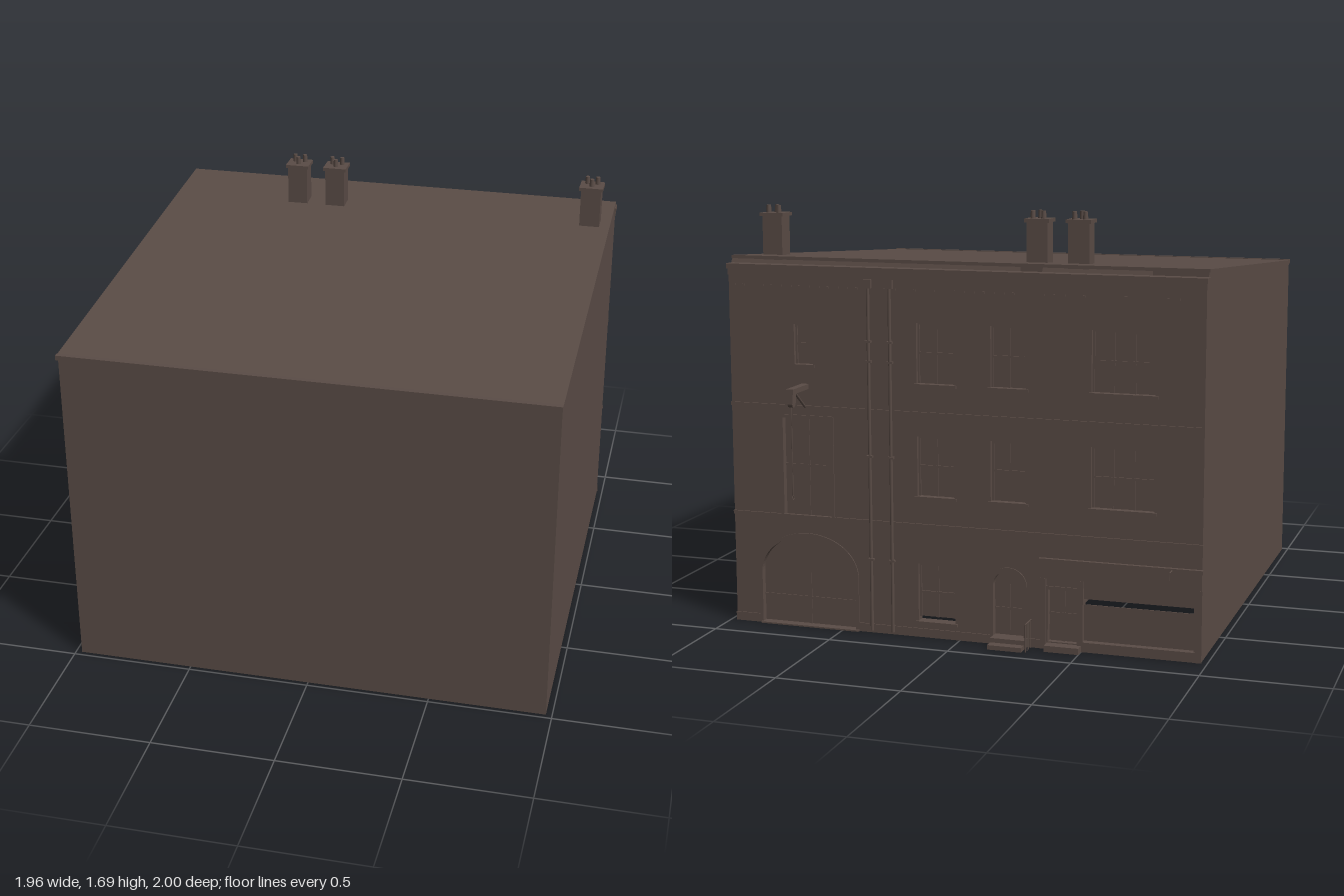
import * as THREE from 'three';

export function createModel() {
  const root = new THREE.Group();
  const stone = new THREE.MeshStandardMaterial({ color: 0x5a4c46, side: THREE.DoubleSide });
  stone.name = 'brown stone';
  const FACE = -0.85; // outer plane of the street wall

  function add(name, geo, parent = root) {
    const m = new THREE.Mesh(geo, stone);
    m.name = name;
    parent.add(m);
    return m;
  }
  // box given by its min and max on each axis
  function box(name, x0, x1, y0, y1, z0, z1, parent) {
    const g = new THREE.BoxGeometry(x1 - x0, y1 - y0, z1 - z0);
    g.translate((x0 + x1) / 2, (y0 + y1) / 2, (z0 + z1) / 2);
    return add(name, g, parent);
  }
  function rod(name, a, b, r, parent) {
    const A = new THREE.Vector3(...a), B = new THREE.Vector3(...b);
    const g = new THREE.CylinderGeometry(r, r, A.distanceTo(B), 8);
    const m = add(name, g, parent);
    m.position.copy(A).lerp(B, 0.5);
    m.quaternion.setFromUnitVectors(new THREE.Vector3(0, 1, 0), B.sub(A).normalize());
    return m;
  }
  // rectangle, or arched outline when spring < y1
  function outline(Type, x0, x1, y0, y1, spring = y1) {
    const p = new Type();
    p.moveTo(x0, y0);
    p.lineTo(x1, y0);
    p.lineTo(x1, spring);
    if (spring < y1) p.absellipse((x0 + x1) / 2, spring, (x1 - x0) / 2, y1 - spring, 0, Math.PI, false, 0);
    else p.lineTo(x0, y1);
    p.lineTo(x0, y0);
    return p;
  }

  // openings in the street wall
  const windows = [];
  for (const [x0, x1, bars] of [[0.02, 0.175, 1], [-0.274, -0.13, 1], [-0.786, -0.535, 2]])
    for (const y of [0.575, 1.025]) windows.push([x0, x1, y, y + 0.24, bars]);
  windows.push([0.02, 0.175, 0.065, 0.3, 1], [0.615, 0.695, 1.08, 1.24, 0]);
  const doors = [
    ['loadingDoor', 0.545, 0.75, 0.46, 0.86, 0.86],
    ['carriageGate', 0.445, 0.855, 0, 0.375, 0.22],
    ['frontDoor', -0.265, -0.14, 0.035, 0.3, 0.24],
    ['shopDoor', -0.485, -0.365, 0.03, 0.24, 0.24],
  ];
  const shop = [-0.945, -0.505, 0.04, 0.255];

  // street wall
  const wall = outline(THREE.Shape, -0.975, 0.975, 0, 1.45);
  for (const [a, b, c, d] of [...windows, shop]) wall.holes.push(outline(THREE.Path, a, b, c, d));
  for (const [, a, b, c, d, s] of doors) wall.holes.push(outline(THREE.Path, a, b, Math.max(c, 0.002), d, s));
  add('streetWall', new THREE.ExtrudeGeometry(wall, { depth: 0.04, bevelEnabled: false, curveSegments: 20 }).translate(0, 0, FACE));

  // end walls and party walls follow the roof slope
  for (const x of [-0.975, -0.33, 0.33, 0.975]) {
    const s = new THREE.Shape([[-0.845, 0], [0.98, 0], [0.98, 1.37], [-0.81, 1.495], [-0.845, 1.45]].map(p => new THREE.Vector2(...p)));
    add('partyWall', new THREE.ShapeGeometry(s).rotateY(-Math.PI / 2).translate(x, 0, 0));
  }
  add('rearWall', new THREE.PlaneGeometry(1.95, 1.37).translate(0, 0.685, 0.98));

  // roof slab, gutter and street cornice
  const slab = new THREE.Shape([[-0.815, 1.492], [0.995, 1.366], [0.995, 1.378], [-0.815, 1.505]].map(p => new THREE.Vector2(...p)));
  add('roof', new THREE.ExtrudeGeometry(slab, { depth: 1.956, bevelEnabled: false }).rotateY(-Math.PI / 2).translate(0.978, 0, 0));
  box('rearGutter', -0.978, 0.978, 1.362, 1.382, 0.98, 1.0);
  box('corniceTop', -0.98, 0.98, 1.455, 1.475, -0.862, -0.81);
  box('corniceBase', -0.977, 0.977, 1.43, 1.455, -0.856, -0.815);
  for (let i = 0; i < 48; i++) {
    const x = -0.95 + i * 0.0404;
    box('dentil', x - 0.005, x + 0.005, 1.388, 1.396, FACE - 0.003, FACE);
  }

  // string courses and plinth
  for (const y of [0.45, 0.9]) box('stringCourse', -0.977, 0.977, y, y + 0.014, FACE - 0.007, FACE);
  for (const [a, b] of [[0.86, 0.977], [-0.13, 0.44], [-0.36, -0.275], [-0.977, -0.49]])
    box('plinth', a, b, 0, 0.035, FACE - 0.005, FACE);

  // sash windows
  for (const [x0, x1, y0, y1, bars] of windows) {
    const g = new THREE.Group();
    g.name = 'window';
    root.add(g);
    const open = y0 < 0.1 ? 0.016 : 0; // raised lower sash
    box('pane', x0, x1, y0 + open, y1, -0.829, -0.824, g);
    box('sill', x0 - 0.01, x1 + 0.01, y0 - 0.012, y0, FACE - 0.008, FACE + 0.02, g);
    const ym = (y0 + y1) / 2;
    box('meetingRail', x0, x1, ym - 0.004, ym + 0.004, -0.835, -0.829, g);
    box('headRail', x0, x1, y1 - 0.008, y1, -0.835, -0.829, g);
    for (const x of [x0, x1 - 0.008]) box('stile', x, x + 0.008, y0 + open, y1, -0.835, -0.829, g);
    for (let i = 1; i <= bars; i++) {
      const x = x0 + (x1 - x0) * i / (bars + 1);
      box('glazingBar', x - 0.003, x + 0.003, y0 + open, y1, -0.834, -0.829, g);
    }
  }

  // doors set back in their openings
  for (const [name, x0, x1, y0, y1, s] of doors) {
    const g = new THREE.Group();
    g.name = name;
    root.add(g);
    add('leaf', new THREE.ExtrudeGeometry(outline(THREE.Shape, x0, x1, y0, y1, s), { depth: 0.006, bevelEnabled: false, curveSegments: 20 }).translate(0, 0, -0.828), g);
    const xm = (x0 + x1) / 2;
    box('centreStrip', xm - 0.003, xm + 0.003, y0, s, -0.832, -0.828, g);
    box('lockRail', x0, x1, y0 + (s - y0) * 0.5, y0 + (s - y0) * 0.5 + 0.01, -0.832, -0.828, g);
    // raised surround
    const t = 0.014;
    const ring = outline(THREE.Shape, x0 - t, x1 + t, y0, y1 + t, s < y1 ? s : s + t);
    ring.holes.push(outline(THREE.Path, x0, x1, y0 + 0.001, y1, s));
    add('surround', new THREE.ExtrudeGeometry(ring, { depth: 0.005, bevelEnabled: false, curveSegments: 20 }).translate(0, 0, FACE - 0.005), g);
  }
  box('gateThreshold', 0.43, 0.86, 0, 0.006, -0.868, -0.81);

  // shop front
  const [sx0, sx1, sy0] = shop;
  box('shopPane', sx0, sx1, sy0, 0.185, -0.829, -0.824);
  box('shopTransom', sx0, sx1, 0.208, 0.255, -0.832, -0.824);
  box('shopSill', sx0 - 0.01, sx1 + 0.01, sy0 - 0.012, sy0, FACE - 0.008, FACE);
  box('shopFascia', -0.975, -0.335, 0.285, 0.35, FACE - 0.006, FACE);
  box('shopCornice', -0.98, -0.33, 0.35, 0.366, FACE - 0.016, FACE);
  for (const x of [-0.965, -0.495, -0.345]) box('shopPilaster', x - 0.012, x + 0.012, 0, 0.285, FACE - 0.007, FACE);
  rod('signArm', [-0.86, 0.358, FACE], [-0.86, 0.358, -0.905], 0.003);
  rod('signHook', [-0.86, 0.36, -0.905], [-0.86, 0.33, -0.905], 0.002);

  // doorsteps and railing
  box('lowerStep', -0.28, -0.14, 0, 0.018, -0.933, FACE);
  box('upperStep', -0.28, -0.14, 0.018, 0.036, -0.895, FACE);
  box('shopStep', -0.5, -0.36, 0, 0.025, -0.895, FACE);
  for (let i = 0; i < 4; i++) {
    const z = -0.865 - i * 0.02;
    rod('railingBar', [-0.295, 0, z], [-0.295, 0.112, z], 0.0022);
  }
  rod('handrail', [-0.295, 0.112, FACE], [-0.295, 0.112, -0.928], 0.003);

  // drainpipes with hopper heads and brackets
  for (const x of [0.373, 0.283]) {
    rod('drainpipe', [x, 0.01, -0.857], [x, 1.41, -0.857], 0.007);
    box('hopper', x - 0.015, x + 0.015, 1.395, 1.43, -0.866, FACE);
    for (const y of [0.3, 0.72, 1.1, 1.18]) box('pipeBracket', x - 0.012, x + 0.012, y, y + 0.008, -0.866, FACE);
  }

  // hoist over the loading door
  const hoist = new THREE.Group();
  hoist.name = 'hoist';
  root.add(hoist);
  box('beam', 0.635, 0.665, 0.982, 1.002, -1.0, FACE, hoist);
  rod('brace', [0.65, 0.905, FACE], [0.65, 0.985, -0.955], 0.005, hoist);
  box('pulleyCase', 0.638, 0.662, 0.945, 0.985, -0.998, -0.965, hoist);
  const pulley = new THREE.CylinderGeometry(0.016, 0.016, 0.02, 16).rotateZ(Math.PI / 2);
  add('pulley', pulley, hoist).position.set(0.65, 0.944, -0.982);
  rod('rope', [0.65, 0.94, -0.985], [0.65, 0.57, -0.985], 0.002, hoist);
  add('hook', new THREE.TorusGeometry(0.008, 0.002, 6, 12, 4.5).rotateY(Math.PI / 2), hoist).position.set(0.65, 0.564, -0.985);

  // chimney stacks, three pots each
  for (const x of [-0.415, -0.245, 0.89]) {
    const c = new THREE.Group();
    c.name = 'chimney';
    c.position.set(x, 0, -0.577);
    root.add(c);
    box('stack', -0.043, 0.043, 1.47, 1.65, -0.038, 0.038, c);
    box('cap', -0.051, 0.051, 1.648, 1.662, -0.046, 0.046, c);
    for (const [px, pz] of [[-0.022, -0.018], [0.022, -0.018], [0, 0.014]])
      add('pot', new THREE.CylinderGeometry(0.009, 0.011, 0.035, 12), c).position.set(px, 1.676, pz);
  }
  return root;
}
